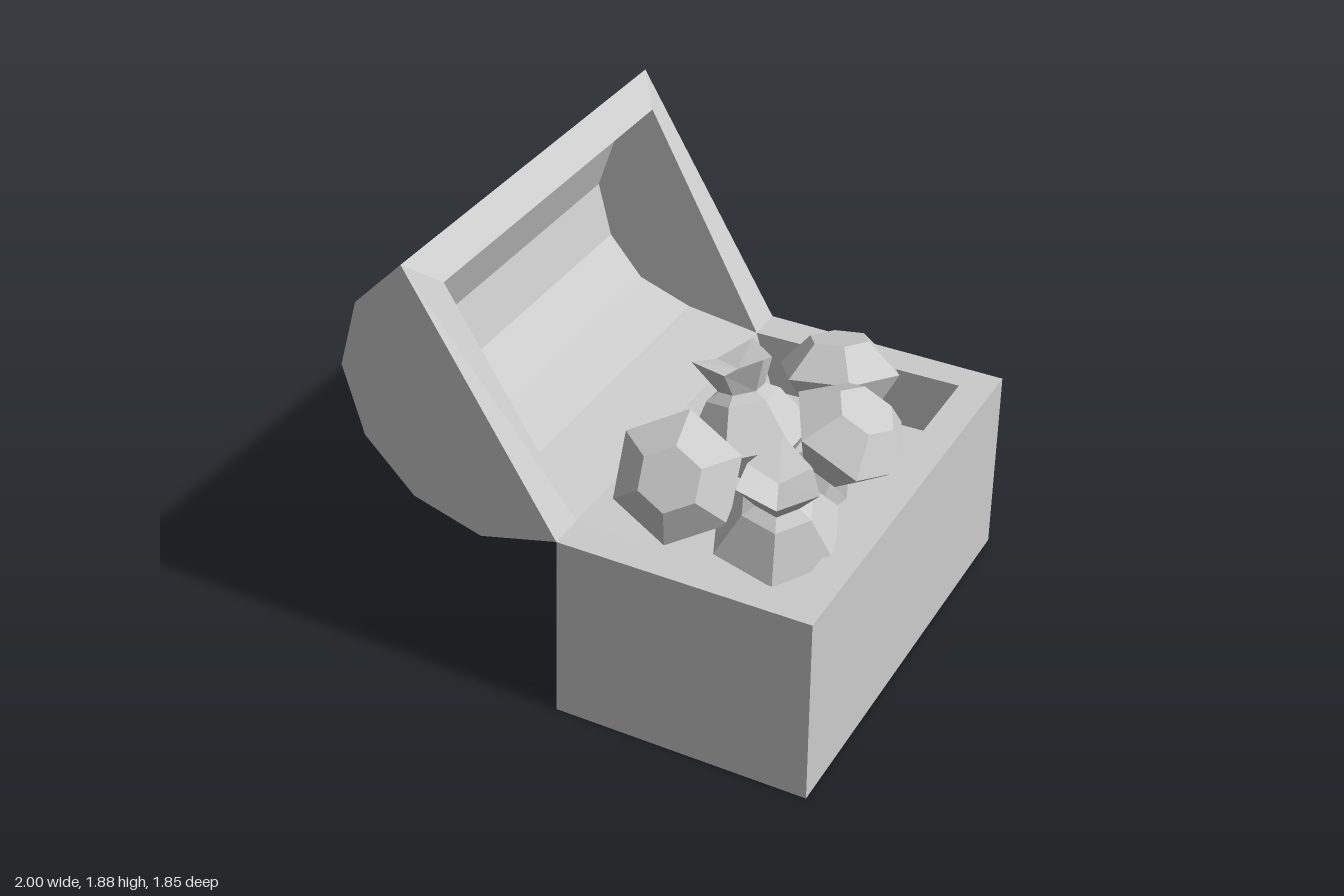
import * as THREE from 'three';

const material = new THREE.MeshStandardMaterial({ color: 0xcccccc, flatShading: true });

function part(name, geometry) {
  const mesh = new THREE.Mesh(geometry, material);
  mesh.name = name;
  return mesh;
}

// Turns convex polygons (corner lists, counter-clockwise from outside) into a geometry
function fromPolygons(polygons) {
  const points = [];
  for (const p of polygons)
    for (let i = 1; i < p.length - 1; i++) points.push(...p[0], ...p[i], ...p[i + 1]);
  const g = new THREE.BufferGeometry();
  g.setAttribute('position', new THREE.Float32BufferAttribute(points, 3));
  g.computeVertexNormals();
  return g;
}

// Quads joining two rows of corners
function bridge(a, b, closed = true) {
  const quads = [];
  for (let i = 0; i < a.length - (closed ? 0 : 1); i++) {
    const j = (i + 1) % a.length;
    quads.push([a[i], a[j], b[j], b[i]]);
  }
  return quads;
}

const reversed = (ring) => [...ring].reverse();

// Hollow box: outside, rim, inner walls and floor as four rectangles
function createBox() {
  const rect = (x0, x1, y, z0, z1 = z0) => [[x0, y, z0], [x1, y, z1], [x1, y, -z1], [x0, y, -z0]];
  const rings = [
    rect(-0.1, 1, 0, 0.925),
    rect(-0.07, 1, 0.84, 0.925),
    rect(-0.07, 0.86, 0.84, 0.77, 0.79),
    rect(0.01, 0.86, 0.57, 0.77, 0.79),
  ];
  const faces = [reversed(rings[0]), rings[3]];
  for (let i = 0; i < 3; i++) faces.push(...bridge(rings[i], rings[i + 1]));
  return part('chestBox', fromPolygons(faces));
}

// Barrel lid: faceted shell with a smaller faceted hollow, profiles from lip to hinge
function createLid() {
  const outer = [[-0.69, 1.88], [-0.91, 1.66], [-1, 1.36], [-0.92, 1.06], [-0.71, 0.84], [-0.41, 0.75], [-0.07, 0.84]];
  const inner = [[-0.59, 1.77], [-0.77, 1.59], [-0.85, 1.36], [-0.79, 1.13], [-0.64, 0.96], [-0.4, 0.88], [-0.07, 0.84]];
  const outerAt = (s) => outer.map(([x, y]) => [x, y, s * 0.925]);
  const innerAt = (s) => inner.map(([x, y]) => [x, y, s * (0.77 + 0.035 * (y - 0.84))]);
  const [of, ob, nf, nb] = [outerAt(1), outerAt(-1), innerAt(1), innerAt(-1)];
  return part('lid', fromPolygons([
    of, reversed(ob), reversed(nf), nb,
    ...bridge(ob, of, false),
    ...bridge(nf, nb, false),
    ...bridge([of[0], of[6], ob[6], ob[0]], [nf[0], nf[6], nb[6], nb[0]]),
  ]));
}

// Six-sided sack: flat base, wide belly, narrow neck and an uneven flared mouth
function createSackGeometry() {
  const profile = [[0, 0], [0.13, 0], [0.265, 0.13], [0.15, 0.31], [0.095, 0.34], [0.16, 0.46], [0, 0.42]];
  const g = new THREE.LatheGeometry(profile.map(([r, y]) => new THREE.Vector2(r, y)), 6).toNonIndexed();
  const p = g.attributes.position;
  for (let i = 0; i < p.count; i++) {
    if (p.getY(i) < 0.45) continue;
    const k = Math.round(Math.atan2(p.getX(i), p.getZ(i)) / (Math.PI / 3));
    const s = k % 2 ? 1.12 : 0.88;
    p.setXYZ(i, p.getX(i) * s, 0.46 + (k % 2 ? 0.025 : -0.02), p.getZ(i) * s);
  }
  g.computeVertexNormals();
  return g;
}

// Each sack: centre of its base, direction from base to mouth, spin about its axis
const sacks = [
  { name: 'backSack', at: [0.38, 1.02, -0.63], axis: [0.15, -1, 0.25], spin: 0.5 },
  { name: 'rightSack', at: [0.72, 1.05, -0.15], axis: [-0.45, -0.9, 0], spin: 0.5 },
  { name: 'middleSack', at: [0.31, 0.74, 0.0], axis: [-0.28, 1, -0.15], spin: 0.1 },
  { name: 'frontSack', at: [0.62, 0.73, 0.45], axis: [0.15, 1, 0.28], spin: 0.4 },
  { name: 'cornerSack', at: [0.29, 1.1, 0.69], axis: [-0.2, -0.5, -0.84], spin: 0.3 },
];

export function createModel() {
  const model = new THREE.Group();
  model.name = 'openChest';
  model.add(createBox(), createLid());

  const geometry = createSackGeometry();
  const up = new THREE.Vector3(0, 1, 0);
  for (const { name, at, axis, spin } of sacks) {
    const sack = part(name, geometry);
    sack.position.set(...at);
    sack.quaternion.setFromUnitVectors(up, new THREE.Vector3(...axis).normalize());
    sack.rotateY(spin);
    model.add(sack);
  }
  return model;
}
